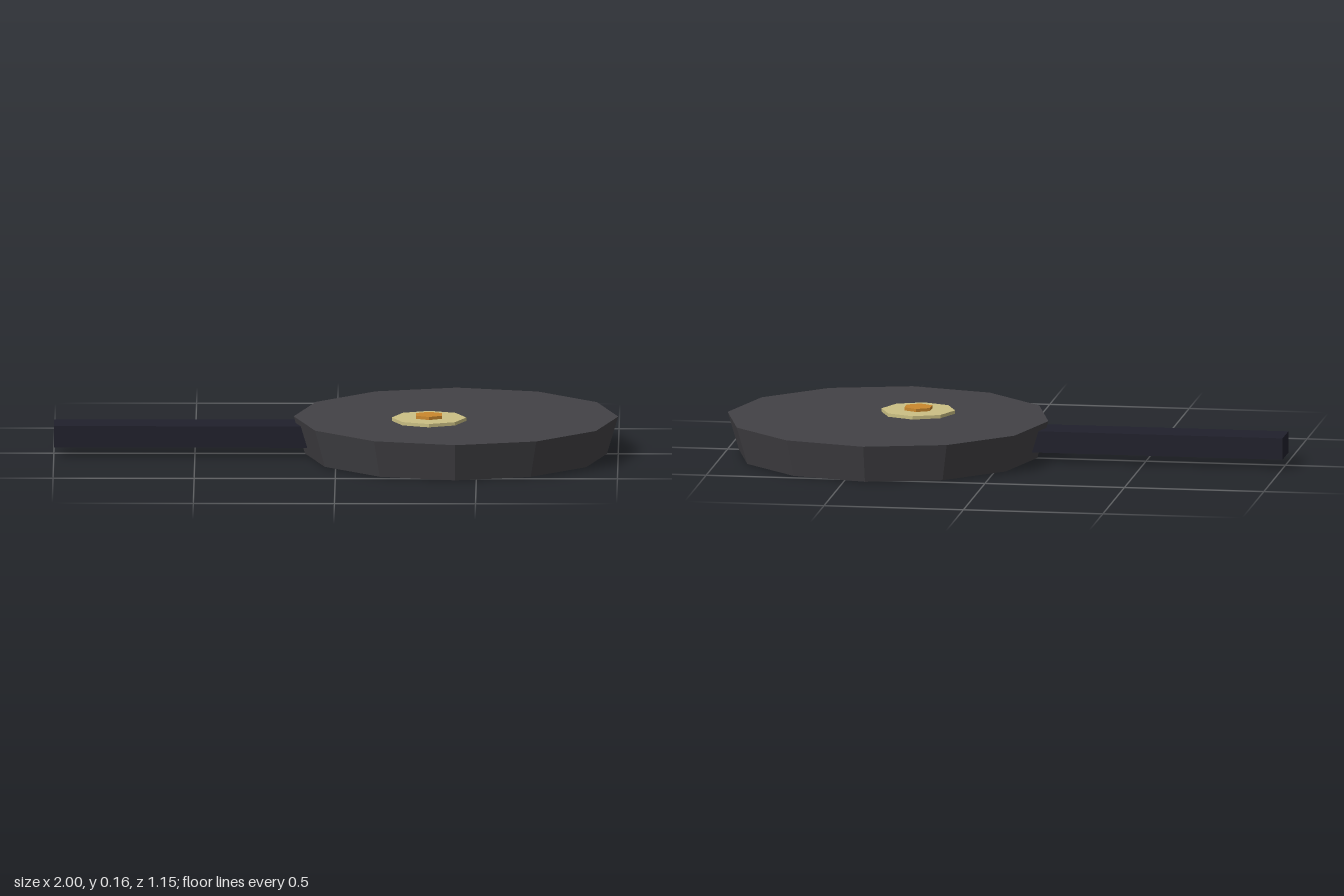
import * as THREE from 'three';

const material = (name, color) => {
  const m = new THREE.MeshStandardMaterial({ color, flatShading: true });
  m.name = name;
  return m;
};

export function createModel() {
  const group = new THREE.Group();
  group.name = 'fryingPan';

  const iron = material('dark iron', 0x434246);
  const grip = material('navy grip', 0x20202c);
  const white = material('pale egg', 0xcbc084);
  const yellow = material('orange yolk', 0xca882d);

  const add = (name, geometry, mat, x, y, z) => {
    const mesh = new THREE.Mesh(geometry, mat);
    mesh.name = name;
    mesh.position.set(x, y, z);
    group.add(mesh);
  };

  // Faceted disc standing on a given height
  const disc = (name, top, bottom, y0, y1, sides, mat, x, z) =>
    add(name, new THREE.CylinderGeometry(top, bottom, y1 - y0, sides), mat, x, (y0 + y1) / 2, z);

  // Flared twelve-sided pan
  disc('pan', 0.575, 0.535, 0, 0.134, 12, iron, 0.425, 0);

  // Square-edged handle running into the pan wall
  add('handle', new THREE.BoxGeometry(0.9, 0.077, 0.134), grip, -0.55, 0.071, 0);

  // Fried egg
  disc('eggWhite', 0.132, 0.132, 0.134, 0.146, 8, white, 0.33, 0.088);
  disc('eggYolk', 0.053, 0.053, 0.146, 0.157, 6, yellow, 0.33, 0.088);

  return group;
}
